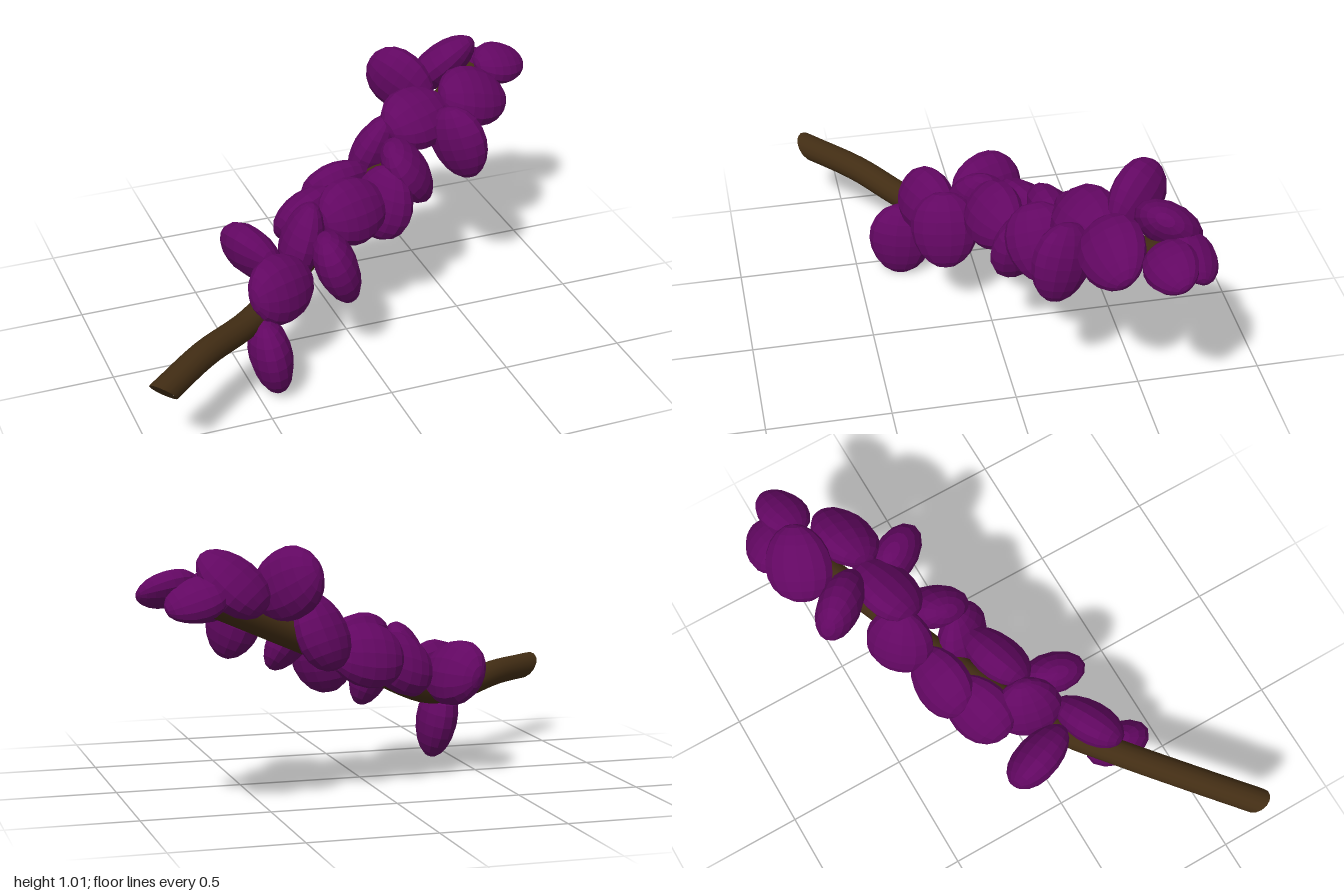
import * as THREE from 'three';

const petalMat = new THREE.MeshStandardMaterial({ color: 0x620762, flatShading: true });
const barkMat = new THREE.MeshStandardMaterial({ color: 0x422d14 });

// Petal: a faceted flattened egg, long in x, wide in y, thin in z
function petalGeometry() {
  const g = new THREE.SphereGeometry(1, 14, 10).rotateZ(-Math.PI / 2);
  const p = g.attributes.position;
  for (let i = 0; i < p.count; i++) {
    const taper = 1 - 0.1 * p.getX(i);
    p.setY(i, p.getY(i) * taper);
    p.setZ(i, p.getZ(i) * taper);
  }
  g.scale(0.165, 0.143, 0.088);
  g.computeVertexNormals();
  return g;
}

// Each petal: centre x, y, z, then yaw, pitch and spin of its flat face in degrees
const PETALS = [
  [-0.435, 0.165, 0.307, 84, 9, -95],
  [-0.35, 0.4, 0.205, 28, 24, -5],
  [-0.385, 0.43, -0.05, 111, 27, 180],
  [-0.195, 0.485, 0.01, 74, -18, 85],
  [-0.105, 0.425, 0.175, 77, 21, -88],
  [-0.11, 0.5, -0.17, 32, -38, 23],
  [0.05, 0.55, -0.25, 12, -33, 8],
  [0.03, 0.565, -0.005, 18, 34, 0],
  [0.19, 0.535, -0.075, 124, -12, 98],
  [0.25, 0.66, -0.32, 43, -24, 89],
  [0.32, 0.625, -0.13, 68, 32, -72],
  [0.42, 0.785, -0.28, 10, 50, 10],
  [0.56, 0.7, -0.16, 118, 6, -109],
  [0.69, 0.815, -0.32, 22, 48, -22],
  [0.425, 0.865, -0.475, 129, 6, -153],
  [0.65, 0.885, -0.54, 39, -45, 70],
  [0.8, 0.835, -0.6, -22, -54, -31],
  [0.885, 0.865, -0.49, 27, 61, -18],
];

function createPetal(geometry, [x, y, z, ...angles]) {
  const petal = new THREE.Mesh(geometry, petalMat);
  const [yaw, pitch, spin] = angles.map(THREE.MathUtils.degToRad);
  petal.position.set(x, y, z);
  petal.rotation.set(-pitch, yaw, spin, 'YXZ');
  // Young petals at the tip are smaller
  petal.scale.setScalar(x > 0.75 ? 0.73 : 0.97);
  return petal;
}

// Slanted cut: push the end ring outward at the top and inward at the bottom
function slantEnd(geometry, centre, outward, radius) {
  const p = geometry.attributes.position;
  const v = new THREE.Vector3();
  for (let i = 0; i < p.count; i++) {
    v.fromBufferAttribute(p, i);
    if (v.distanceTo(centre) > radius * 1.05) continue;
    v.addScaledVector(outward, 0.85 * (v.y - centre.y));
    p.setXYZ(i, v.x, v.y, v.z);
  }
}

// Stem: a bent tube closed with a disc at both ends, cut at a slant at the base
function createStem() {
  const stem = new THREE.Group();
  stem.name = 'stem';
  const radius = 0.054;
  const curve = new THREE.CatmullRomCurve3([
    new THREE.Vector3(-0.965, 0.33, 0.632),
    new THREE.Vector3(-0.75, 0.335, 0.45),
    new THREE.Vector3(-0.5, 0.31, 0.255),
    new THREE.Vector3(-0.3, 0.34, 0.09),
    new THREE.Vector3(0, 0.48, -0.11),
    new THREE.Vector3(0.77, 0.835, -0.52),
  ]);
  const tube = new THREE.Mesh(new THREE.TubeGeometry(curve, 40, radius, 14), barkMat);
  tube.name = 'stemTube';
  stem.add(tube);
  for (const t of [0, 1]) {
    const centre = curve.getPoint(t);
    const outward = curve.getTangent(t).multiplyScalar(t ? 1 : -1);
    const turn = new THREE.Quaternion().setFromUnitVectors(new THREE.Vector3(0, 0, 1), outward);
    const cap = new THREE.Mesh(new THREE.CircleGeometry(radius, 14), barkMat);
    cap.name = t ? 'stemTip' : 'stemCut';
    cap.geometry.applyQuaternion(turn).translate(centre.x, centre.y, centre.z);
    if (t === 0) {
      for (const g of [tube.geometry, cap.geometry]) slantEnd(g, centre, outward, radius);
      cap.geometry.computeVertexNormals();
    }
    stem.add(cap);
  }
  return stem;
}

export function createModel() {
  const model = new THREE.Group();
  model.name = 'flowerSprig';
  model.add(createStem());
  const petals = new THREE.Group();
  petals.name = 'petals';
  const geometry = petalGeometry();
  PETALS.forEach((spec, i) => {
    const petal = createPetal(geometry, spec);
    petal.name = `petal${i + 1}`;
    petals.add(petal);
  });
  model.add(petals);
  return model;
}
